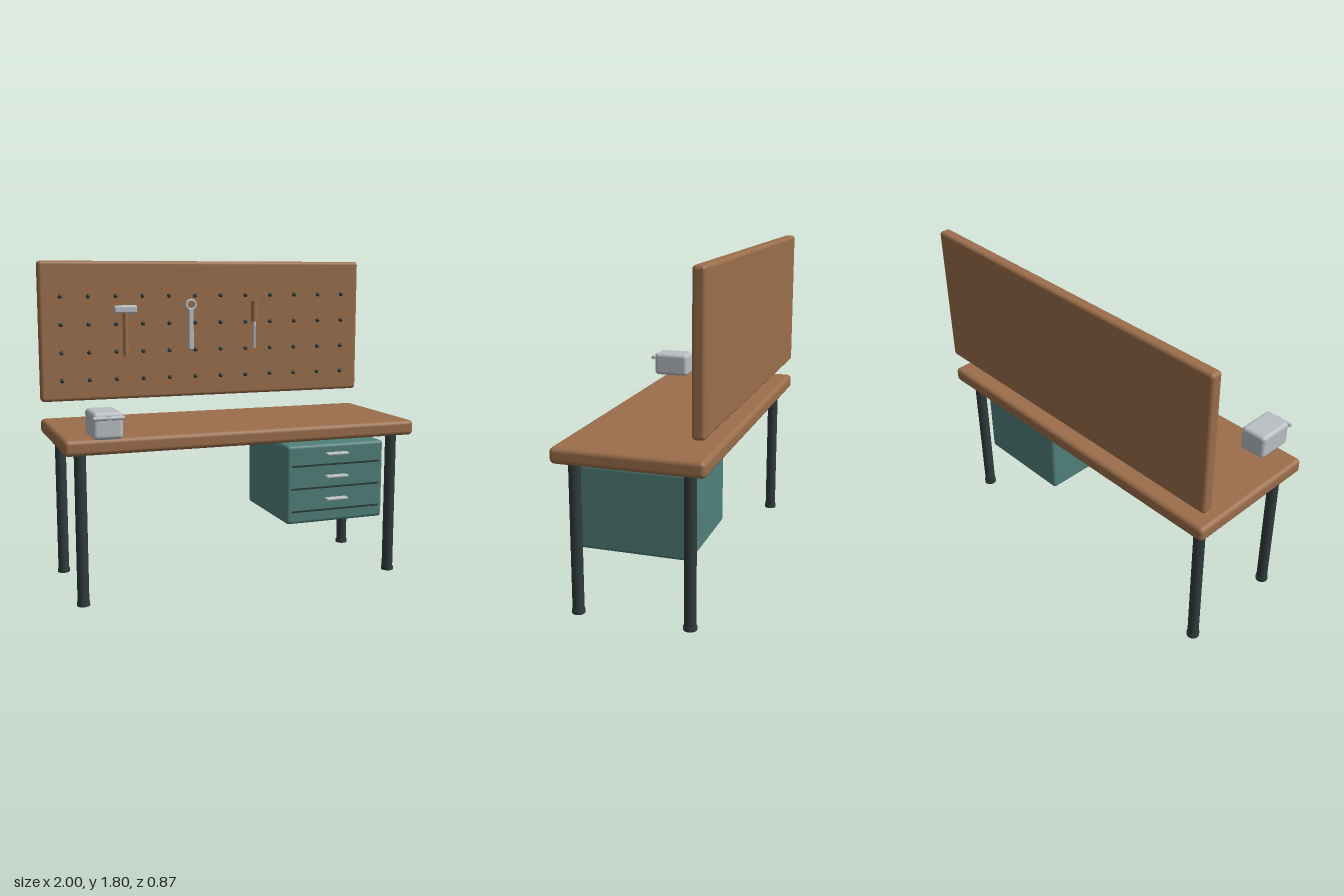
import * as THREE from 'three';
import { RoundedBoxGeometry } from 'three/addons/geometries/RoundedBoxGeometry.js';

const material = (name, color) => {
  const m = new THREE.MeshStandardMaterial({ color });
  m.name = name;
  return m;
};

export function createModel() {
  const wood = material('wood', 0x9b6e4b);
  const teal = material('teal paint', 0x50807b);
  const dark = material('dark metal', 0x303c3c);
  const steel = material('steel', 0xb9bfc4);

  const model = new THREE.Group();
  model.name = 'workbench';

  const add = (name, geometry, mat, x, y, z, parent = model) => {
    const mesh = new THREE.Mesh(geometry, mat);
    mesh.name = name;
    mesh.position.set(x, y, z);
    parent.add(mesh);
    return mesh;
  };
  const group = (name) => {
    const g = new THREE.Group();
    g.name = name;
    model.add(g);
    return g;
  };
  // Rounded box given by its limits on each axis
  const block = (name, mat, [x0, x1], [y0, y1], [z0, z1], radius, parent) =>
    add(name, new RoundedBoxGeometry(x1 - x0, y1 - y0, z1 - z0, 4, radius), mat,
      (x0 + x1) / 2, (y0 + y1) / 2, (z0 + z1) / 2, parent);
  // Upright rod between two heights
  const rod = (name, mat, radius, x, y0, y1, z, parent) =>
    add(name, new THREE.CylinderGeometry(radius, radius, y1 - y0, 24), mat,
      x, (y0 + y1) / 2, z, parent);

  // Worktop and back panel
  block('worktop', wood, [-1, 1], [0.815, 0.9], [-0.435, 0.36], 0.025);
  block('pegboard', wood, [-1, 1], [1, 1.8], [-0.432, -0.365], 0.02);

  // Legs with feet
  for (const x of [-0.905, 0.905]) {
    for (const z of [-0.335, 0.265]) {
      const leg = group('leg');
      rod('legPost', dark, 0.031, x, 0.01, 0.82, z, leg);
      rod('foot', dark, 0.035, x, 0, 0.02, z, leg);
    }
  }

  // Drawer cabinet with seams and pulls
  const cabinet = group('drawerCabinet');
  block('cabinetBody', teal, [0.25, 0.85], [0.33, 0.78], [-0.32, 0.28], 0.02, cabinet);
  for (let i = 0; i < 3; i++) {
    const seamY = 0.662 - i * 0.13;
    add('drawerSeam', new THREE.BoxGeometry(0.545, 0.01, 0.009), dark, 0.55, seamY, 0.28, cabinet);
    block('drawerPull', steel, [0.482, 0.617], [seamY + 0.055, seamY + 0.07], [0.27, 0.314], 0.006, cabinet);
  }

  // Grid of pegs
  const pegs = group('pegs');
  const pegGeometry = new THREE.SphereGeometry(0.0125, 14, 10);
  for (let col = 0; col < 12; col++) {
    for (let row = 0; row < 4; row++) {
      add('peg', pegGeometry, dark, -0.88 + col * 0.16, 1.12 + row * 0.16, -0.355, pegs);
    }
  }

  // Hammer
  const hammer = group('hammer');
  rod('hammerHandle', wood, 0.016, -0.505, 1.25, 1.51, -0.352, hammer);
  block('hammerHead', steel, [-0.572, -0.436], [1.5, 1.547], [-0.37, -0.337], 0.012, hammer);

  // Ring wrench
  const wrench = group('wrench');
  block('wrenchShank', steel, [-0.12, -0.09], [1.28, 1.522], [-0.367, -0.349], 0.006, wrench);
  add('wrenchRing', new THREE.TorusGeometry(0.028, 0.008, 10, 28), steel, -0.105, 1.545, -0.357, wrench);

  // Screwdriver
  const screwdriver = group('screwdriver');
  rod('screwdriverHandle', wood, 0.02, 0.297, 1.44, 1.565, -0.356, screwdriver);
  rod('screwdriverBlade', steel, 0.009, 0.297, 1.28, 1.445, -0.354, screwdriver);

  // Vise with turning bar
  const vise = group('vise');
  block('viseBody', steel, [-0.862, -0.706], [0.902, 1.042], [0.196, 0.415], 0.022, vise);
  rod('viseBar', steel, 0.011, -0.784, 0.935, 1.093, 0.425, vise).rotation.z = Math.PI / 2;
  vise.children[1].position.y = 1.014;
  rod('viseScrew', steel, 0.016, -0.784, 0.999, 1.029, 0.418, vise).rotation.x = Math.PI / 2;

  return model;
}
